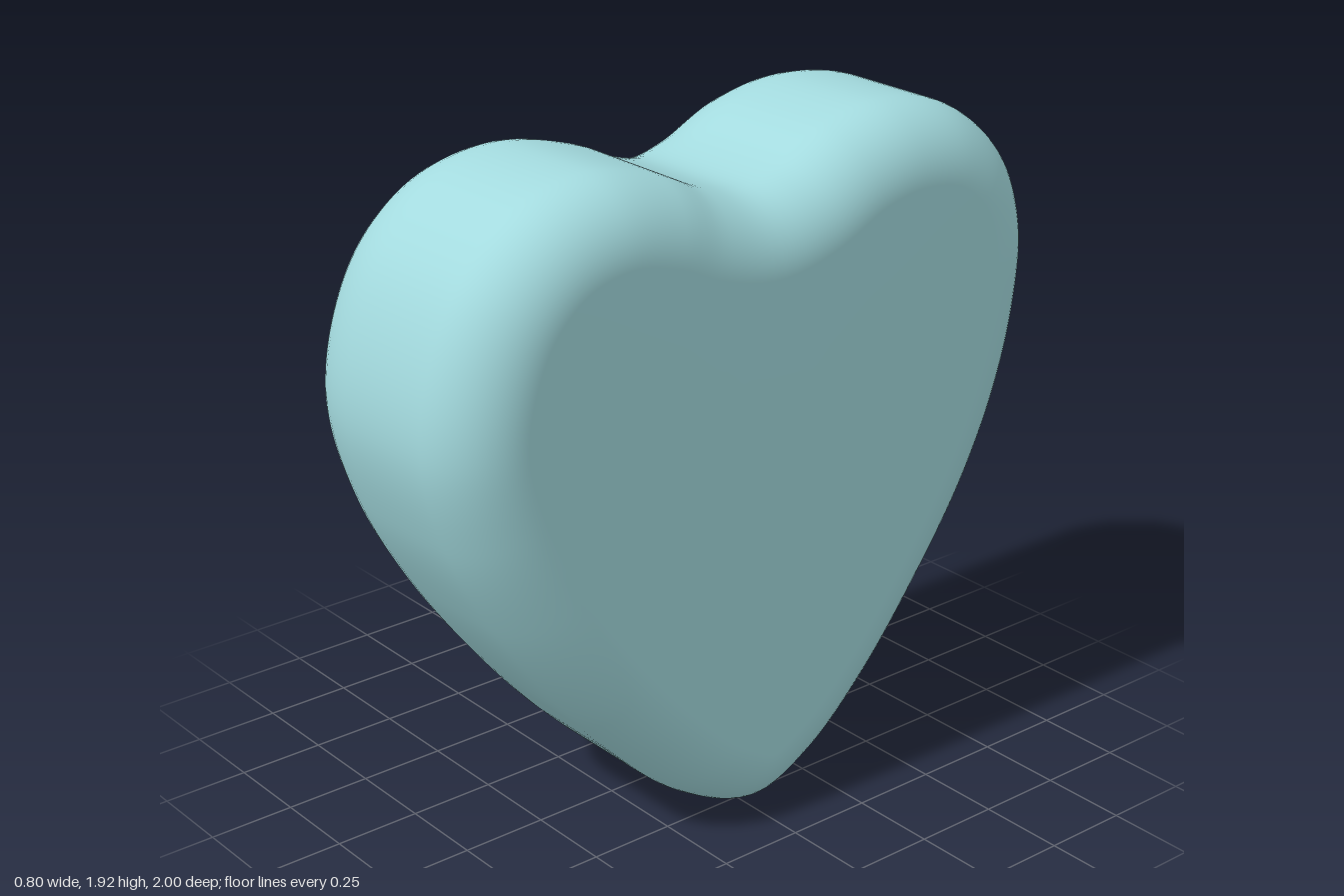
import * as THREE from 'three';

// Heart outline as [z, y], from the bottom tip up the front lobe and down the back lobe
const OUTLINE = [
  [-0.01, 0], [0.2, 0.085], [0.4, 0.26], [0.6, 0.49], [0.8, 0.77], [0.935, 1.03],
  [1, 1.285], [0.97, 1.51], [0.866, 1.72], [0.69, 1.865], [0.465, 1.915], [0.25, 1.87],
  [0.115, 1.81], [-0.01, 1.783], [-0.135, 1.81], [-0.31, 1.89], [-0.515, 1.925],
  [-0.74, 1.88], [-0.915, 1.735], [-0.995, 1.52], [-0.985, 1.285], [-0.92, 1.03],
  [-0.8, 0.77], [-0.625, 0.51], [-0.42, 0.26], [-0.22, 0.085],
];
const SEGMENTS = 240, STEPS = 14, HALF = 0.4;

// Cross-section of the rim: x position and how far the outline is drawn in
function rimProfile(rightRadius, leftRadius) {
  const rings = [];
  for (let k = 0; k <= STEPS; k++) {
    const a = (k / STEPS) * Math.PI / 2;
    rings.push({ x: -HALF + rightRadius * (1 - Math.cos(a)), inset: 0.94 * rightRadius * (1 - Math.sin(a)) });
  }
  for (let k = STEPS; k >= 0; k--) {
    const a = (k / STEPS) * Math.PI / 2;
    rings.push({ x: HALF - leftRadius * (1 - Math.cos(a)), inset: leftRadius * (1 - Math.sin(a)) });
  }
  return rings;
}

function heartGeometry() {
  const curve = new THREE.CatmullRomCurve3(OUTLINE.map(([z, y]) => new THREE.Vector3(0, y, z)), true, 'centripetal');
  const pts = curve.getSpacedPoints(SEGMENTS).slice(0, SEGMENTS);
  const at = (i) => pts[(i + SEGMENTS) % SEGMENTS];
  // Outward directions, taken over a short span to keep the offset smooth
  const out = pts.map((p, i) => {
    const t = at(i + 5).clone().sub(at(i - 5)).normalize();
    return new THREE.Vector3(0, -t.z, t.y);
  });

  const rings = rimProfile(0.3, 0.2);
  const positions = [], index = [];
  for (const { x, inset } of rings) {
    pts.forEach((p, i) => positions.push(x, p.y - out[i].y * inset, p.z - out[i].z * inset));
  }
  const last = (rings.length - 1) * SEGMENTS;
  const rightCentre = rings.length * SEGMENTS, leftCentre = rightCentre + 1;
  positions.push(-HALF, 1.05, 0, HALF, 1.05, 0);

  for (let i = 0; i < SEGMENTS; i++) {
    const j = (i + 1) % SEGMENTS;
    // Rounded rim
    for (let k = 0; k < rings.length - 1; k++) {
      const a = k * SEGMENTS + i, b = k * SEGMENTS + j;
      index.push(a, a + SEGMENTS, b + SEGMENTS, a, b + SEGMENTS, b);
    }
    // Flat faces
    index.push(rightCentre, i, j, leftCentre, last + j, last + i);
  }

  const geometry = new THREE.BufferGeometry();
  geometry.setAttribute('position', new THREE.Float32BufferAttribute(positions, 3));
  geometry.setIndex(index);
  geometry.computeVertexNormals();
  return geometry;
}

export function createModel() {
  const aqua = new THREE.MeshStandardMaterial({ color: 0xa3dade });
  aqua.name = 'paleAqua';
  const heart = new THREE.Mesh(heartGeometry(), aqua);
  heart.name = 'heartBody';
  const group = new THREE.Group();
  group.name = 'heart';
  group.add(heart);
  return group;
}
